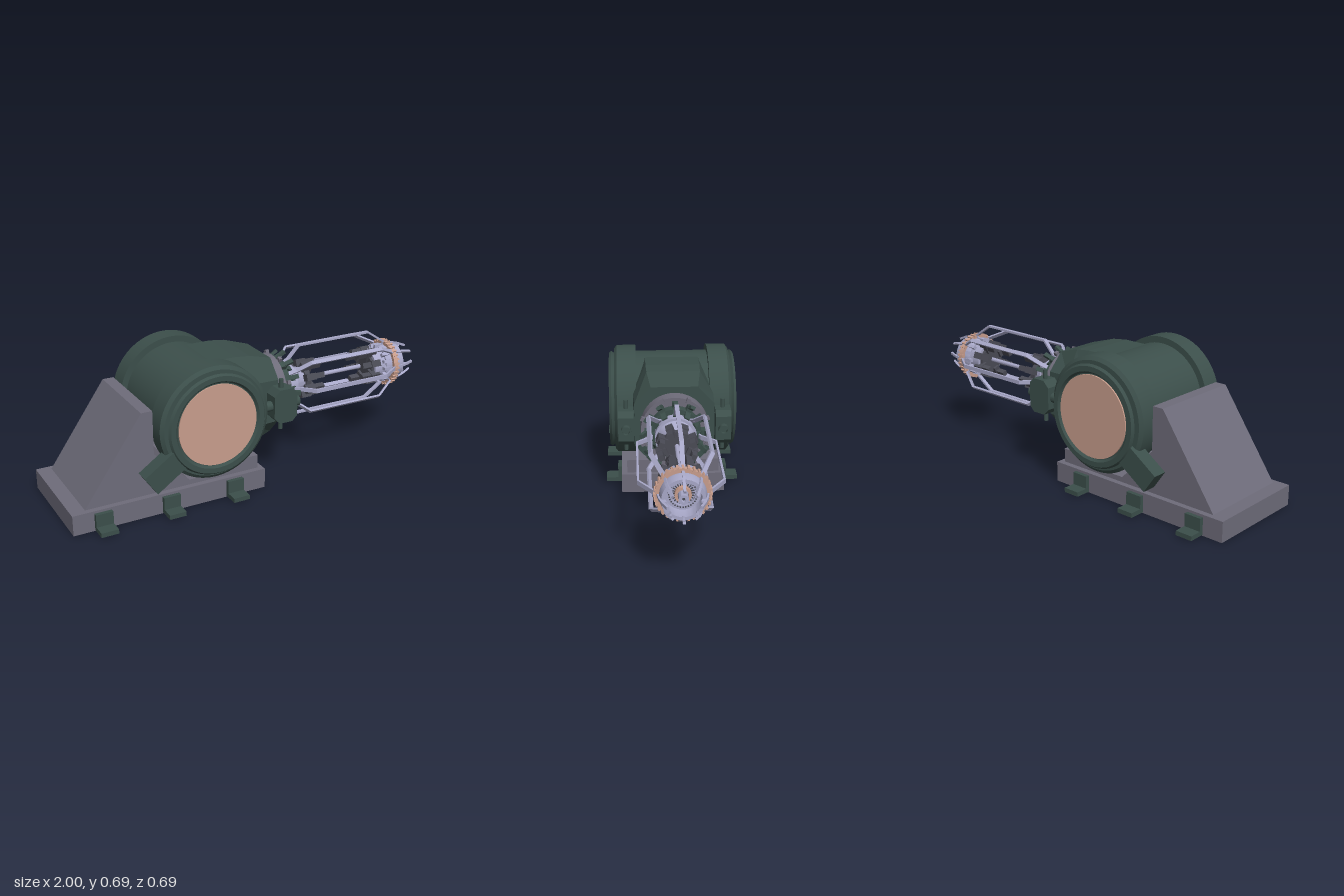
import * as THREE from 'three';
import { toCreasedNormals } from 'three/addons/utils/BufferGeometryUtils.js';

const mat = (name, color) => Object.assign(new THREE.MeshStandardMaterial({ color }), { name });

export function createModel() {
  const root = new THREE.Group();
  const grey = mat('plinth grey', 0x6e6c7a);
  const green = mat('dark green', 0x3c4f4b);
  const copper = mat('copper', 0xc89d8c);
  const silver = mat('pale lavender metal', 0xa8a8c8);
  const dark = mat('dark clamp grey', 0x4a4b55);

  const add = (parent, name, geo, material) => {
    const m = new THREE.Mesh(geo, material);
    m.name = name;
    parent.add(m);
    return m;
  };
  // Box given by its limits on each axis
  const box = (parent, name, material, [x0, x1], [y0, y1], [z0, z1]) =>
    add(parent, name, new THREE.BoxGeometry(x1 - x0, y1 - y0, z1 - z0), material)
      .position.set((x0 + x1) / 2, (y0 + y1) / 2, (z0 + z1) / 2);
  // Turned part from [radius, distance along axis] points
  const turned = (points, segments = 64) => toCreasedNormals(
    new THREE.LatheGeometry(points.map(p => new THREE.Vector2(...p)), segments), 0.5);
  const turnedX = (parent, name, material, points, segments) =>
    add(parent, name, turned(points, segments).rotateZ(-Math.PI / 2), material);
  // Solid cylinder along x
  const diskX = (parent, name, material, x0, x1, r, seg = 48) =>
    turnedX(parent, name, material, [[0, x0], [r, x0], [r, x1], [0, x1]], seg);
  // Hollow ring along x
  const ringX = (parent, name, material, x0, x1, ri, ro, seg = 48) =>
    turnedX(parent, name, material, [[ri, x0], [ro, x0], [ro, x1], [ri, x1], [ri, x0]], seg);
  const extrude = (points, z0, z1) => new THREE.ExtrudeGeometry(
    new THREE.Shape(points.map(p => new THREE.Vector2(...p))),
    { depth: z1 - z0, bevelEnabled: false }).translate(0, 0, z0);

  // Base slab and cradle
  box(root, 'baseSlab', grey, [-1, -0.015], [0, 0.1], [-0.263, 0.263]);
  add(root, 'cradle', extrude([
    [-0.93, 0.1], [-0.04, 0.1], [-0.04, 0.168], [-0.12, 0.168], [-0.17, 0.125],
    [-0.41, 0.125], [-0.585, 0.3], [-0.585, 0.515], [-0.64, 0.515]], -0.235, 0.235), grey);

  // L-shaped feet along both sides
  for (const x of [-0.855, -0.52, -0.185]) for (const s of [1, -1]) {
    const foot = new THREE.Group();
    foot.name = 'footBracket';
    const span = (a, b) => (s > 0 ? [a, b] : [-b, -a]);
    box(foot, 'footUpright', green, [x - 0.042, x + 0.042], [0.005, 0.088], span(0.26, 0.283));
    box(foot, 'footPlate', green, [x - 0.042, x + 0.042], [0.004, 0.026], span(0.26, 0.343));
    root.add(foot);
  }

  // Drum with stepped rims, lying along z
  const drum = new THREE.Group();
  drum.name = 'drum';
  drum.position.set(-0.293, 0.414, 0);
  root.add(drum);
  const half = [[0, -0.308], [0.205, -0.308], [0.215, -0.32], [0.24, -0.32], [0.249, -0.308],
    [0.236, -0.293], [0.262, -0.293], [0.279, -0.28], [0.279, -0.183], [0.248, -0.183]];
  const profile = [...half, ...half.map(([r, z]) => [r, -z]).reverse()];
  add(drum, 'drumBody', turned(profile, 72).rotateX(Math.PI / 2), green);
  for (const s of [1, -1]) {
    const cover = add(drum, 'drumCover', new THREE.CylinderGeometry(0.2, 0.2, 0.008, 64).rotateX(Math.PI / 2), copper);
    cover.position.z = s * 0.311;
    // Locking arm reaching down and back
    const arm = add(drum, 'lockingArm', extrude(
      [[0.215, -0.055], [0.415, -0.055], [0.415, 0.055], [0.215, 0.055]], -0.036, 0.036), green);
    arm.position.z = s * 0.277;
    arm.rotation.z = Math.PI + 0.6;
  }

  // Everything beyond the drum is centred on the boom axis
  const boom = new THREE.Group();
  boom.name = 'boom';
  boom.position.y = 0.414;
  root.add(boom);

  // Eight-sided neck: [x, half height, top half width, half width, side half height]
  const sections = [[-0.25, 0.241, 0.135, 0.2, 0.115], [-0.11, 0.241, 0.135, 0.2, 0.115],
    [-0.03, 0.232, 0.132, 0.2, 0.112], [0.095, 0.195, 0.115, 0.195, 0.108]]
    .map(([x, h, a, w, b]) => [[h, -a], [h, a], [b, w], [-b, w], [-h, a], [-h, -a], [-b, -w], [b, -w]]
      .map(([y, z]) => [x, y, z]));
  const verts = [];
  for (let i = 0; i < sections.length - 1; i++) for (let j = 0; j < 8; j++) {
    const k = (j + 1) % 8, [p, q] = [sections[i], sections[i + 1]];
    verts.push(p[j], p[k], q[k], p[j], q[k], q[j]);
  }
  const end = sections.at(-1);
  for (let j = 1; j < 7; j++) verts.push(end[0], end[j], end[j + 1]);
  const neck = new THREE.BufferGeometry();
  neck.setAttribute('position', new THREE.Float32BufferAttribute(verts.flat(), 3));
  neck.computeVertexNormals();
  add(boom, 'neck', neck, green);

  // Side actuators
  for (const s of [1, -1]) {
    const act = new THREE.Group();
    act.name = 'sideActuator';
    act.position.z = s * 0.236;
    add(act, 'actuatorBlock', extrude([[0.03, -0.055], [0.06, -0.086], [0.13, -0.086], [0.155, -0.06],
      [0.155, 0.06], [0.13, 0.086], [0.06, 0.086], [0.03, 0.055]], -0.038, 0.038), green);
    diskX(act, 'actuatorRod', green, -0.03, 0.165, 0.025, 24);
    ringX(act, 'actuatorNozzle', green, 0.16, 0.183, 0.016, 0.025, 24);
    add(act, 'crossPin', new THREE.CylinderGeometry(0.011, 0.011, 0.26, 20), green).position.x = 0.085;
    box(act, 'actuatorMount', green, [0.04, 0.09], [-0.06, 0.06], s > 0 ? [-0.06, 0] : [0, 0.06]);
    boom.add(act);
  }

  // Collar stack
  diskX(boom, 'collar', grey, 0.09, 0.165, 0.165);
  diskX(boom, 'clampDrum', green, 0.16, 0.215, 0.125);
  diskX(boom, 'collarHub', silver, 0.21, 0.27, 0.1);
  turnedX(boom, 'cageSocket', silver, [[0, 0.26], [0.095, 0.26], [0.07, 0.3], [0.06, 0.34], [0, 0.34]]);

  // Copies a part around the boom axis
  const around = (n, name, build, offset = 0) => {
    for (let i = 0; i < n; i++) {
      const g = new THREE.Group();
      g.name = name;
      g.rotation.x = offset + (i / n) * Math.PI * 2;
      build(g);
      boom.add(g);
    }
  };
  // Straight bar from (x, radius) to (x, radius)
  const bar = (g, name, material, [x0, r0], [x1, r1], width, thick) => {
    const m = add(g, name, new THREE.BoxGeometry(Math.hypot(x1 - x0, r1 - r0) + thick * 0.4, thick, width), material);
    m.position.set((x0 + x1) / 2, (r0 + r1) / 2, 0);
    m.rotation.z = Math.atan2(r1 - r0, x1 - x0);
  };
  const path = (g, name, material, pts, width, thick) =>
    pts.slice(1).forEach((p, i) => bar(g, name, material, pts[i], p, width, thick));

  // Green claws and small studs around the collar
  around(12, 'collarClaw', g => {
    box(g, 'clawBlock', green, [0.165, 0.21], [0.11, 0.148], [-0.014, 0.014]);
    bar(g, 'clawTip', green, [0.195, 0.14], [0.24, 0.163], 0.022, 0.016);
    bar(g, 'clawRoot', green, [0.205, 0.118], [0.245, 0.1], 0.026, 0.018);
  });
  around(8, 'collarStud', g => {
    box(g, 'studStem', grey, [0.16, 0.178], [0.148, 0.164], [-0.006, 0.006]);
    box(g, 'studHead', grey, [0.168, 0.186], [0.158, 0.178], [-0.01, 0.01]);
  }, Math.PI / 8);

  // Outer cage bars, tip fingers and inner clamps
  around(8, 'cageArm', g => {
    path(g, 'cageBar', silver, [[0.235, 0.105], [0.265, 0.122], [0.325, 0.185], [0.75, 0.185], [0.86, 0.112]], 0.02, 0.01);
    path(g, 'tipFinger', silver, [[0.85, 0.108], [0.92, 0.098], [0.96, 0.086], [0.998, 0.07]], 0.012, 0.011);
    bar(g, 'tipFin', silver, [0.89, 0.093], [0.95, 0.08], 0.008, 0.018);
  });
  around(8, 'innerClamp', g => {
    for (const [x, d] of [[0.325, 1], [0.78, -1]]) {
      const span = (a, b) => (d > 0 ? [x + a, x + b] : [x - b, x - a]);
      box(g, 'clampFoot', dark, span(0, 0.055), [0.05, 0.1], [-0.017, 0.017]);
      box(g, 'clampJaw', dark, span(0.04, 0.108), [0.068, 0.094], [-0.014, 0.014]);
    }
  }, Math.PI / 8);
  diskX(boom, 'rearClampPlate', dark, 0.335, 0.365, 0.07);
  diskX(boom, 'frontClampPlate', dark, 0.74, 0.775, 0.07);
  diskX(boom, 'centreRod', silver, 0.3, 0.84, 0.011, 20);

  // Tip head: open cup with a copper toothed ring
  diskX(boom, 'headBack', silver, 0.755, 0.835, 0.085);
  turnedX(boom, 'headCup', silver, [[0.07, 0.82], [0.093, 0.82], [0.1, 0.835], [0.1, 0.895], [0.093, 0.93],
    [0.078, 0.93], [0.078, 0.84], [0.07, 0.82]]);
  diskX(boom, 'headPlate', silver, 0.83, 0.86, 0.079);
  ringX(boom, 'copperRing', copper, 0.852, 0.878, 0.098, 0.117, 64);
  around(32, 'copperTooth', g =>
    box(g, 'tooth', copper, [0.848, 0.882], [0.112, 0.124], [-0.005, 0.005]));
  around(16, 'headLug', g => box(g, 'lug', silver, [0.8, 0.85], [0.08, 0.104], [-0.008, 0.008]));

  // Head face: spokes, studs and central nozzle
  ringX(boom, 'faceRing', silver, 0.86, 0.875, 0.052, 0.066);
  around(32, 'faceStud', g => box(g, 'stud', dark, [0.873, 0.877], [0.056, 0.062], [-0.003, 0.003]));
  around(24, 'faceSpoke', g => box(g, 'spoke', dark, [0.858, 0.865], [0.034, 0.05], [-0.002, 0.002]));
  ringX(boom, 'copperBush', copper, 0.858, 0.885, 0.024, 0.036);
  ringX(boom, 'nozzle', silver, 0.855, 0.93, 0.01, 0.022, 32);
  diskX(boom, 'nozzleCore', dark, 0.855, 0.92, 0.006, 20);

  return root;
}
